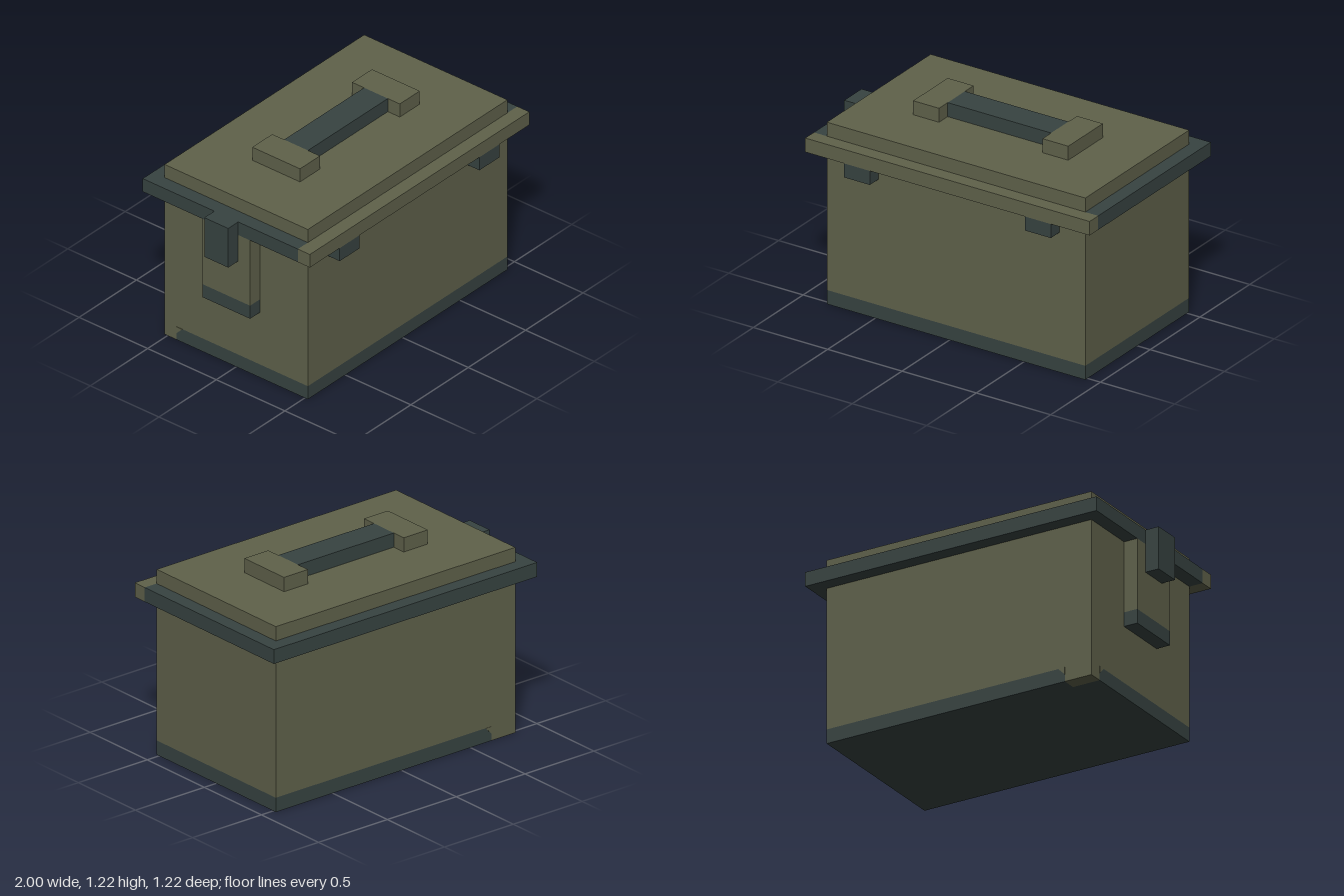
import * as THREE from 'three';

// The whole box sits on a regular grid: 23 cells across its longest side
const U = 2 / 23;

export function createModel() {
  const model = new THREE.Group();
  model.name = 'storageBox';
  const olive = new THREE.MeshStandardMaterial({ color: 0x5f614a });
  olive.name = 'olive';
  const slate = new THREE.MeshStandardMaterial({ color: 0x374341 });
  slate.name = 'dark slate';

  // Block spanning two corners given in grid cells
  function block(name, material, [x0, x1], [y0, y1], [z0, z1], parent = model) {
    const geometry = new THREE.BoxGeometry((x1 - x0) * U, (y1 - y0) * U, (z1 - z0) * U);
    const mesh = new THREE.Mesh(geometry, material);
    mesh.position.set((x0 + x1) * U / 2, (y0 + y1) * U / 2, (z0 + z1) * U / 2);
    mesh.name = name;
    parent.add(mesh);
    return mesh;
  }

  function group(name) {
    const g = new THREE.Group();
    g.name = name;
    model.add(g);
    return g;
  }

  // Body with a dark base band, bare at one back corner
  block('body', olive, [-9.5, 10.5], [1, 11], [-6, 6]);
  const base = group('baseBand');
  block('baseMain', slate, [-9.5, 10.5], [0, 1], [-5, 6], base);
  block('baseBack', slate, [-7.5, 10.5], [0, 1], [-6, -5], base);
  block('bareCorner', olive, [-9.5, -7.5], [0, 1], [-6, -5], base);

  // Thin slanted ends of the band beside the bare corner
  const s = 0.5 * U;
  const chip = new THREE.ExtrudeGeometry(
    new THREE.Shape([new THREE.Vector2(0, 0), new THREE.Vector2(0, -s), new THREE.Vector2(s, 0)]),
    { depth: 0.03 * U, bevelEnabled: false }
  );
  const backChip = new THREE.Mesh(chip, olive);
  backChip.name = 'bandEndBack';
  backChip.position.set(-7.5 * U, U, -6.03 * U);
  const sideChip = new THREE.Mesh(chip, olive);
  sideChip.name = 'bandEndSide';
  sideChip.rotation.y = -Math.PI / 2;
  sideChip.position.set(-9.5 * U, U, -5 * U);
  base.add(backChip, sideChip);

  // Overhanging rim with an olive front strip, and the lid on top
  block('rim', slate, [-10.5, 10.5 + 1], [11, 12], [-7, 6]);
  block('rimFront', olive, [-10.5, 11.5], [11, 12], [6, 7]);
  block('lid', olive, [-9.5, 10.5], [12, 13], [-6, 6]);

  // Carrying handle: two mounts joined by a bar
  const handle = group('lidHandle');
  for (const x of [-5.5, 4.5]) block('handleMount', olive, [x, x + 2], [13, 14], [-2, 2], handle);
  block('handleBar', slate, [-3.5, 4.5], [13, 14], [-1, 1], handle);

  // Hinges under the front strip
  for (const x of [-7.5, 6.5]) block('frontHinge', slate, [x, x + 2], [10, 11], [6, 7]);

  // Side latch: plate, dark lower lip and hanging clasp
  const latch = group('sideLatch');
  block('latchPlate', olive, [-10.5, -9.5], [6, 11], [-2, 2], latch);
  block('latchLip', slate, [-10.5, -9.5], [5, 6], [-2, 2], latch);
  block('latchClasp', slate, [-11.5, -10.5], [9, 12], [-1, 1], latch);

  return model;
}
